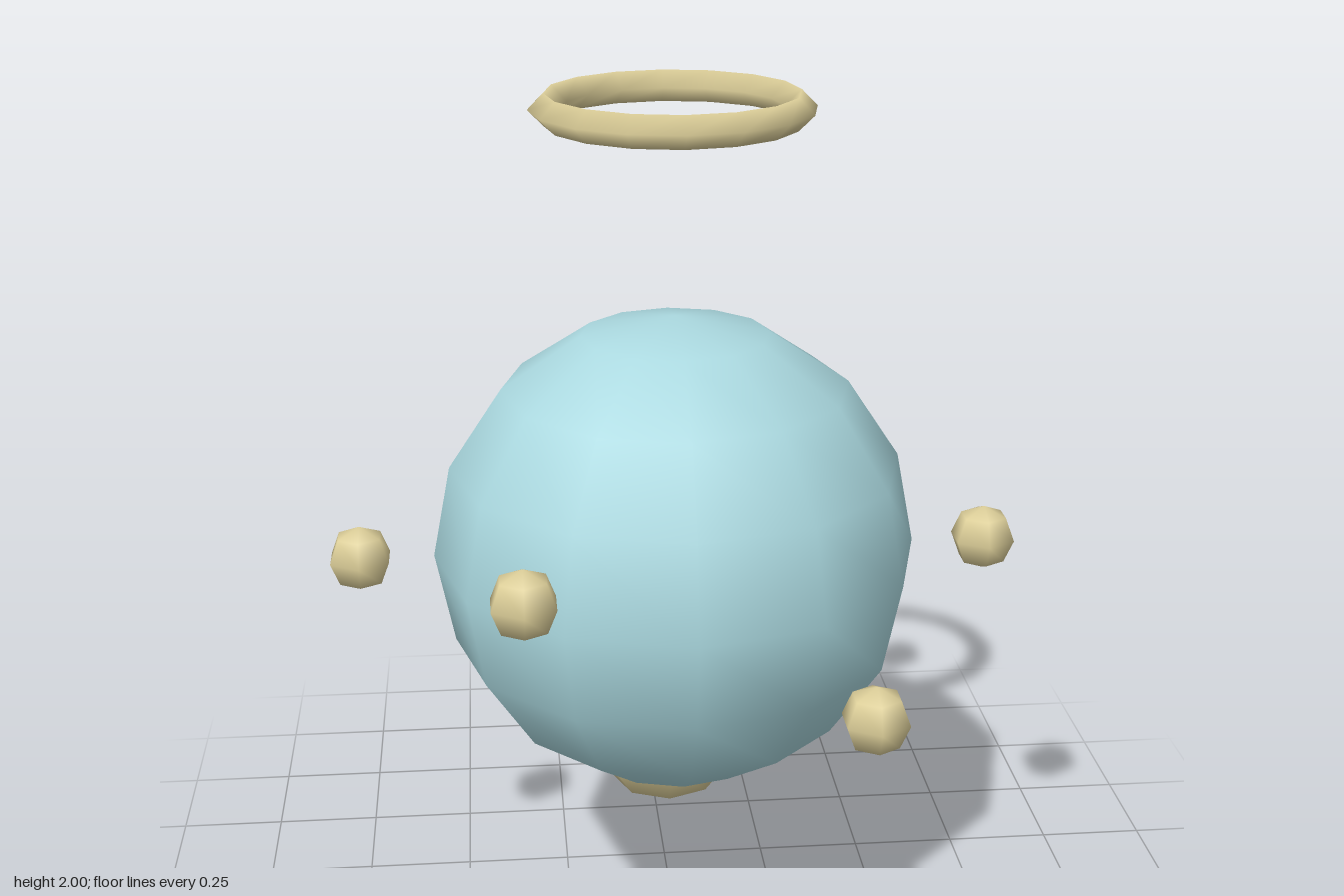
import * as THREE from 'three';

export function createModel() {
  const model = new THREE.Group();
  const blue = new THREE.MeshStandardMaterial({ name: 'pale blue', color: 0xabd9e0 });
  const sand = new THREE.MeshStandardMaterial({ name: 'pale sand', color: 0xded09a });

  const add = (name, geometry, material, x, y, z) => {
    const mesh = new THREE.Mesh(geometry, material);
    mesh.name = name;
    mesh.position.set(x, y, z);
    model.add(mesh);
    return mesh;
  };

  const centreY = 0.98, centreZ = 0.055;

  // Round body
  add('body', new THREE.SphereGeometry(0.545, 12, 8), blue, 0, centreY, centreZ);

  // Halo floating above
  const halo = add('halo', new THREE.TorusGeometry(0.275, 0.035, 4, 16), sand, 0, 1.965, 0);
  halo.rotation.x = Math.PI / 2;

  // Tail of shrinking balls, stepping down and back
  [0.22, 0.159, 0.1].forEach((radius, i) => {
    add('tailBall' + (i + 1), new THREE.SphereGeometry(radius, 8, 5), sand,
      0, 0.43 - 0.165 * i, -0.213 - 0.221 * i);
  });

  // Six small orbs circling the body at alternating heights
  const orbGeometry = new THREE.SphereGeometry(0.075, 6, 4).rotateY(Math.PI / 2);
  for (let i = 0; i < 6; i++) {
    const angle = (i * Math.PI) / 3;
    add('orb' + (i + 1), orbGeometry, sand,
      0.71 * Math.cos(angle),
      centreY - 0.165 * Math.sin(angle * 2),
      centreZ + 0.71 * Math.sin(angle));
  }
  return model;
}
